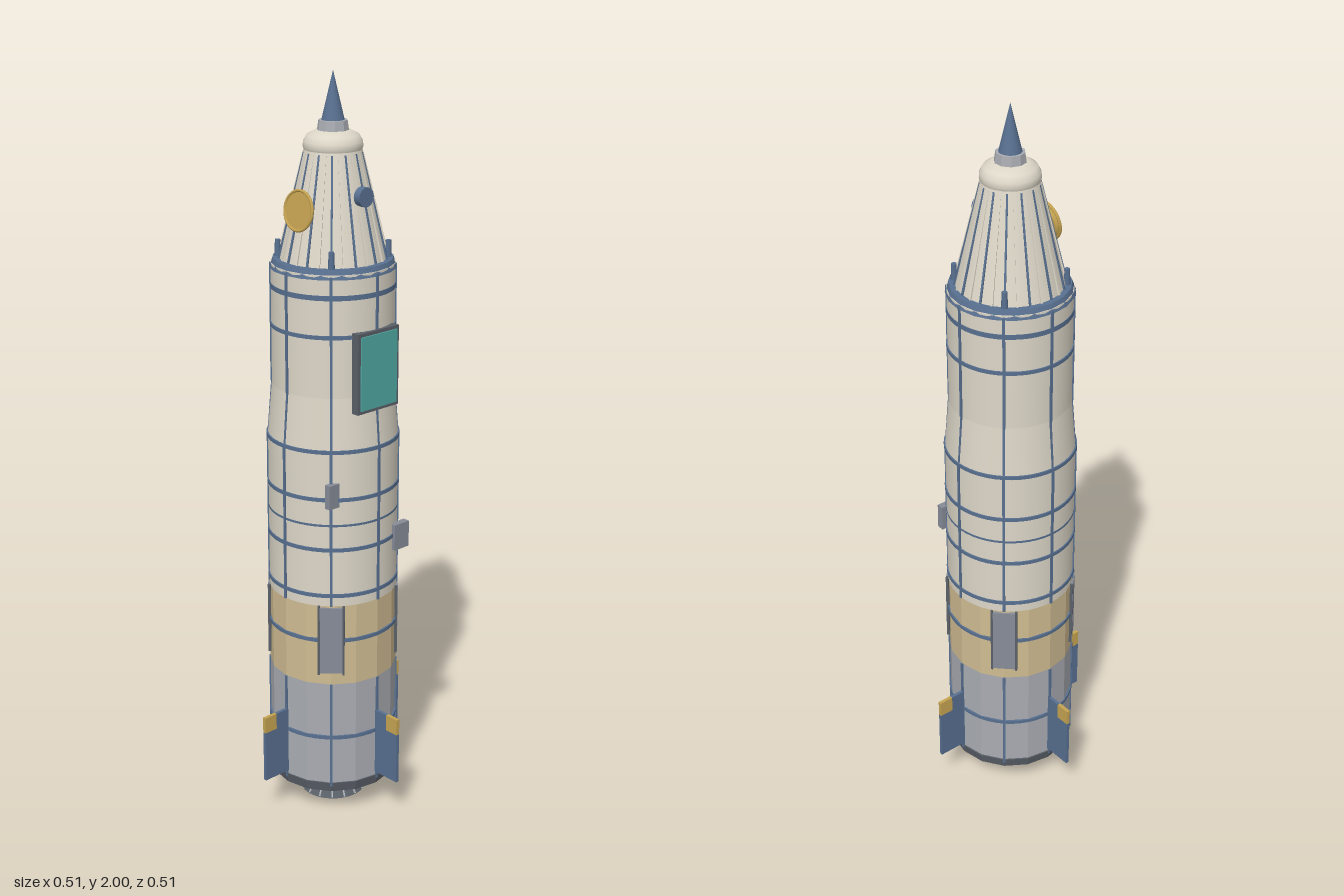
import * as THREE from 'three';

const mat = (name, color, extra = {}) => {
  const m = new THREE.MeshStandardMaterial({ color, ...extra });
  m.name = name;
  return m;
};

export function createModel() {
  const root = new THREE.Group();
  root.name = 'rocket';
  const ivory = mat('ivory', 0xddd7c8);
  const slate = mat('slate blue', 0x587090);
  const tan = mat('tan', 0xd0bc92, { flatShading: true });
  const alloy = mat('alloy grey', 0xa9acb2, { flatShading: true });
  const dark = mat('dark grey', 0x5a6068, { flatShading: true });
  const panel = mat('panel grey', 0x868c98);
  const gold = mat('gold', 0xc6a452);
  const teal = mat('teal', 0x4fa8a2);

  const add = (name, geo, material, x = 0, y = 0, z = 0, parent = root) => {
    const m = new THREE.Mesh(geo, material);
    m.name = name;
    m.position.set(x, y, z);
    parent.add(m);
    return m;
  };
  // Closed frustum standing between two heights
  const drum = (name, y0, y1, r0, r1, material, sides = 48) =>
    add(name, new THREE.CylinderGeometry(r1, r0, y1 - y0, sides), material, 0, (y0 + y1) / 2, 0);
  // Group turned about the vertical axis; its local +x points outwards
  const spoke = (name, angle) => {
    const g = new THREE.Group();
    g.name = name;
    g.rotation.y = angle;
    root.add(g);
    return g;
  };
  // Straight bar from (r0, y0) to (r1, y1) inside a spoke
  const bar = (name, r0, y0, r1, y1, thick, width, material, parent) => {
    const len = Math.hypot(r1 - r0, y1 - y0);
    const m = add(name, new THREE.BoxGeometry(thick, len, width), material, (r0 + r1) / 2, (y0 + y1) / 2, 0, parent);
    m.rotation.z = -Math.atan2(r1 - r0, y1 - y0);
    return m;
  };

  // Engine bell with ribs
  drum('engineBell', 0, 0.075, 0.09, 0.045, dark, 24);
  for (let i = 0; i < 16; i++)
    bar('bellRib', 0.09, 0.003, 0.047, 0.072, 0.005, 0.004, alloy, spoke('bellRibMount', i * Math.PI / 8));

  // Hull sections
  drum('baseRing', 0.072, 0.1, 0.171, 0.177, dark, 16);
  drum('engineSkirt', 0.095, 0.4, 0.173, 0.173, alloy, 16);
  drum('interstage', 0.4, 0.63, 0.173, 0.173, tan, 16);
  drum('lowerTank', 0.63, 1.06, 0.172, 0.172, ivory);
  drum('tankTaper', 1.06, 1.2, 0.172, 0.16, ivory);
  drum('upperTank', 1.2, 1.52, 0.16, 0.16, ivory);

  // Hoops
  for (const y of [0.24, 0.53, 0.66, 0.79, 0.93, 1.06])
    drum('hoop', y - 0.005, y + 0.005, 0.1755, 0.1755, slate);
  drum('thinHoop', 0.855, 0.861, 0.1728, 0.1728, slate);
  drum('hoop', 1.355, 1.365, 0.1635, 0.1635, slate);
  drum('hoop', 1.455, 1.468, 0.1615, 0.1615, slate);
  drum('shoulderRing', 1.508, 1.532, 0.164, 0.155, slate, 20);

  // Stringers running up the hull
  for (let i = 0; i < 8; i++) {
    const s = spoke('stringer', i * Math.PI / 4);
    bar('skirtStringer', 0.173, 0.09, 0.173, 0.4, 0.007, 0.007, slate, s);
    bar('tankStringer', 0.172, 0.63, 0.172, 1.06, 0.007, 0.007, slate, s);
    bar('taperStringer', 0.171, 1.06, 0.16, 1.2, 0.004, 0.006, slate, s);
    bar('upperStringer', 0.16, 1.2, 0.16, 1.515, 0.007, 0.007, slate, s);
  }

  // Access panels on the interstage and thrusters on the shoulder
  for (let i = 0; i < 4; i++) {
    const s = spoke('diagonalEquipment', Math.PI / 4 + i * Math.PI / 2);
    add('accessPanel', new THREE.BoxGeometry(0.008, 0.19, 0.06), panel, 0.1725, 0.53, 0, s);
    for (const side of [-1, 1])
      add('panelRail', new THREE.BoxGeometry(0.008, 0.2, 0.006), dark, 0.172, 0.53, side * 0.033, s);
    add('thruster', new THREE.CylinderGeometry(0.007, 0.009, 0.05, 12), slate, 0.141, 1.55, 0, s);
  }

  // Tail fins with gold tips
  for (let i = 0; i < 4; i++) {
    const s = spoke('tailFin', i * Math.PI / 2);
    const shape = new THREE.Shape([[0.165, 0.11], [0.255, 0.11], [0.255, 0.255], [0.215, 0.255], [0.215, 0.3], [0.165, 0.3]]
      .map(p => new THREE.Vector2(...p)));
    add('fin', new THREE.ExtrudeGeometry(shape, { depth: 0.009, bevelEnabled: false }), slate, 0, 0, -0.0045, s);
    add('finTip', new THREE.BoxGeometry(0.04, 0.045, 0.01), gold, 0.235, 0.2775, 0, s);
  }

  // Ribbed nose cone
  drum('noseCone', 1.53, 1.81, 0.139, 0.073, ivory);
  for (let i = 0; i < 28; i++)
    bar('noseRib', 0.14, 1.532, 0.073, 1.8, 0.006, 0.005, i % 2 ? slate : ivory, spoke('noseRibMount', (i + 0.5) * Math.PI / 14));

  // Domed cap, collar and spike
  const cap = [[0, 1.795], [0.07, 1.795], [0.076, 1.812], [0.075, 1.826], [0.066, 1.842], [0.045, 1.853], [0, 1.856]];
  add('noseCap', new THREE.LatheGeometry(cap.map(p => new THREE.Vector2(...p)), 40), ivory);
  drum('spikeCollar', 1.85, 1.878, 0.041, 0.037, alloy, 10);
  add('spike', new THREE.ConeGeometry(0.029, 0.122, 24), slate, 0, 1.939, 0);

  // Front hatch
  add('hatchFrame', new THREE.BoxGeometry(0.144, 0.212, 0.022), dark, 0, 1.265, 0.157);
  add('hatchPane', new THREE.BoxGeometry(0.126, 0.194, 0.008), teal, 0, 1.265, 0.168);

  // Equipment boxes
  add('equipmentBox', new THREE.BoxGeometry(0.035, 0.065, 0.018), panel, -0.1225, 0.943, 0.127);
  add('equipmentBox', new THREE.BoxGeometry(0.053, 0.072, 0.02), panel, 0.0915, 0.785, 0.16);

  // Porthole on the nose
  const port = add('porthole', new THREE.CylinderGeometry(0.025, 0.025, 0.02, 24), slate, 0, 1.7, 0.111);
  port.rotation.x = Math.PI / 2;

  // Dish on the right of the nose
  const dish = new THREE.Group();
  dish.name = 'dish';
  dish.position.set(-0.114, 1.665, 0);
  dish.rotation.z = Math.PI / 2 - 0.15;
  root.add(dish);
  add('dishPlate', new THREE.CylinderGeometry(0.051, 0.04, 0.01, 28), gold, 0, 0, 0, dish);
  const rim = add('dishRim', new THREE.TorusGeometry(0.05, 0.004, 8, 28), gold, 0, 0.004, 0, dish);
  rim.rotation.x = Math.PI / 2;
  return root;
}
